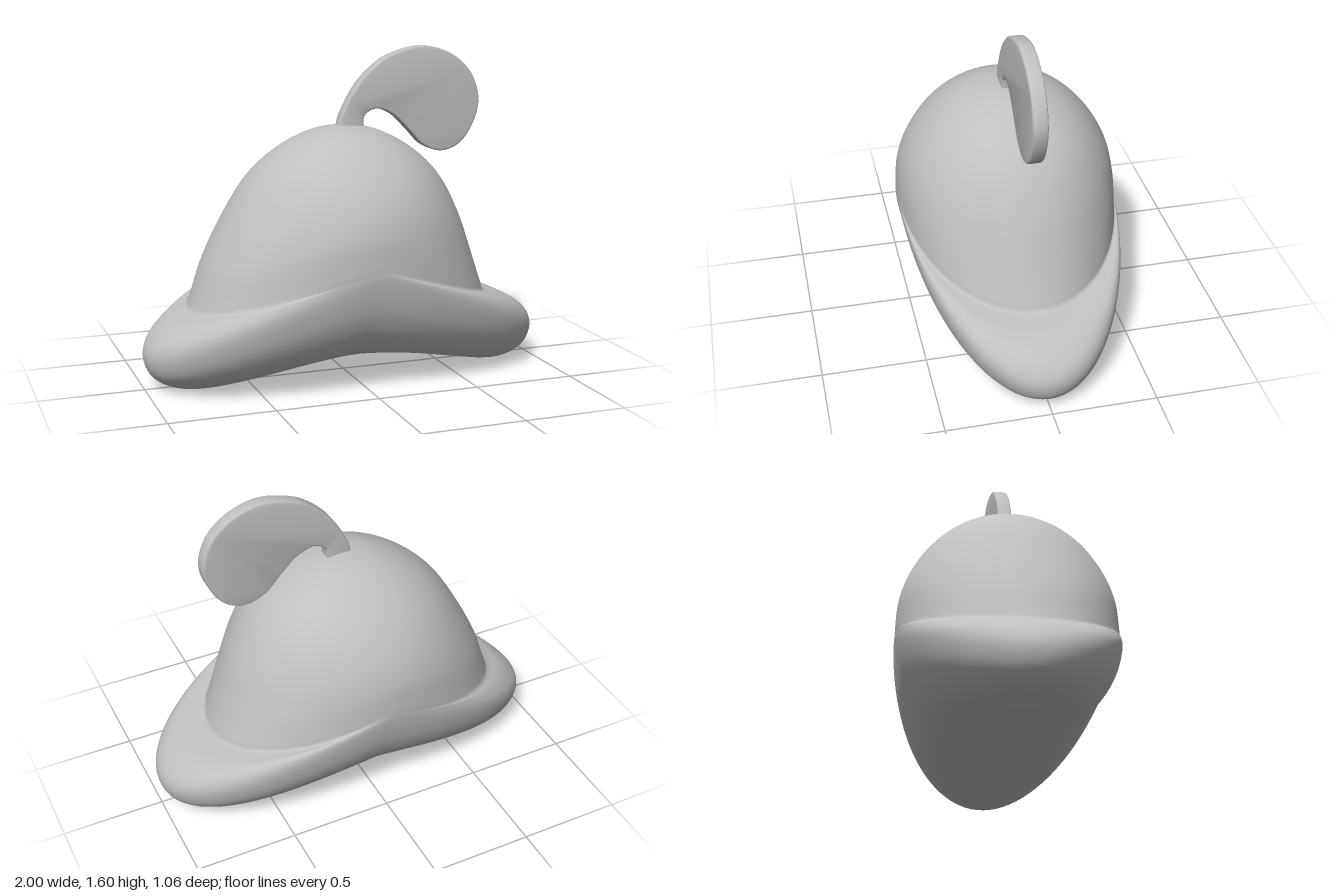
import * as THREE from 'three';
import { mergeVertices, toCreasedNormals } from 'three/addons/utils/BufferGeometryUtils.js';

// Rings from crown to underside:
// [half width x, height at sides, half depth z, height at front/back, x shift, fold sharpness]
const RINGS = [
  [0, 1.225, 0, 1.225, 0, 2],
  [0.06, 1.221, 0.055, 1.221, 0, 2],
  [0.16, 1.2, 0.15, 1.2, 0, 2],
  [0.32, 1.12, 0.29, 1.125, 0, 2],
  [0.47, 0.985, 0.405, 1.01, -0.005, 2],
  [0.585, 0.79, 0.485, 0.875, -0.015, 1.8],
  [0.675, 0.58, 0.522, 0.75, -0.03, 1.5],
  [0.735, 0.41, 0.53, 0.645, -0.03, 1.15],
  [0.75, 0.375, 0.531, 0.622, -0.03, 1.05], // seam between crown and brim
  [0.785, 0.358, 0.531, 0.612, -0.02, 1.05],
  [0.86, 0.33, 0.531, 0.6, -0.01, 1.1],
  [0.93, 0.285, 0.531, 0.58, 0, 1.15],
  [0.985, 0.22, 0.528, 0.55, 0, 1.2],
  [1, 0.15, 0.518, 0.49, 0, 1.25],
  [0.97, 0.07, 0.49, 0.39, 0, 1.3],
  [0.9, 0.02, 0.435, 0.28, 0, 1.35],
  [0.8, 0, 0.36, 0.2, 0, 1.4],
  [0.6, 0.035, 0.26, 0.15, 0, 1.6],
  [0.4, 0.065, 0.17, 0.125, 0, 1.8],
  [0.2, 0.1, 0.085, 0.115, 0, 2],
  [0, 0.11, 0, 0.11, 0, 2],
];

// Crown and turned-down brim as one closed surface
function hatGeometry(around = 160, steps = 5) {
  const rows = (RINGS.length - 1) * steps;
  const pos = [], index = [];
  for (let i = 0; i < around; i++) {
    const c = Math.cos((i / around) * Math.PI * 2);
    const s = Math.sin((i / around) * Math.PI * 2);
    const profile = new THREE.CatmullRomCurve3(RINGS.map(([a, ySide, b, yFront, shift, p]) =>
      new THREE.Vector3(shift + a * c, yFront - (yFront - ySide) * Math.abs(c) ** p, b * s)));
    for (let j = 0; j <= rows; j++) pos.push(...profile.getPoint(j / rows).toArray());
    const next = (i + 1) % around;
    for (let j = 0; j < rows; j++) {
      const A = i * (rows + 1) + j, B = next * (rows + 1) + j;
      if (j > 0) index.push(A, B, A + 1);
      if (j < rows - 1) index.push(B, B + 1, A + 1);
    }
  }
  const geo = new THREE.BufferGeometry();
  geo.setAttribute('position', new THREE.Float32BufferAttribute(pos, 3));
  geo.setIndex(index);
  const merged = mergeVertices(geo, 1e-5);
  merged.computeVertexNormals();
  return merged;
}

// Flat curled plume with softly bevelled edges
function plumeGeometry() {
  const outline = [
    [-0.03, 1.22], [-0.012, 1.28], [0.05, 1.395], [0.13, 1.485], [0.235, 1.555], [0.4, 1.595],
    [0.545, 1.56], [0.655, 1.47], [0.705, 1.34], [0.682, 1.22], [0.61, 1.115], [0.51, 1.077],
    [0.41, 1.11], [0.33, 1.19], [0.25, 1.265], [0.165, 1.297], [0.105, 1.27], [0.095, 1.22],
  ].map(([x, y]) => new THREE.Vector2(x, y));
  const shape = new THREE.Shape();
  shape.moveTo(-0.03, 1.195);
  shape.lineTo(outline[0].x, outline[0].y);
  shape.splineThru(outline.slice(1));
  shape.lineTo(0.095, 1.195);
  shape.closePath();
  const geo = new THREE.ExtrudeGeometry(shape, {
    depth: 0.05, curveSegments: 90,
    bevelThickness: 0.01, bevelSize: 0.01, bevelOffset: -0.01, bevelSegments: 3,
  });
  geo.translate(0, 0, -0.025);
  return toCreasedNormals(geo, 0.6);
}

export function createModel() {
  const group = new THREE.Group();
  group.name = 'plumedHat';
  const grey = new THREE.MeshStandardMaterial({ color: 0xc0c0c0 });
  grey.name = 'grey';
  const add = (name, geometry) => {
    const mesh = new THREE.Mesh(geometry, grey);
    mesh.name = name;
    group.add(mesh);
  };
  add('crownAndBrim', hatGeometry());
  add('plume', plumeGeometry());
  return group;
}
